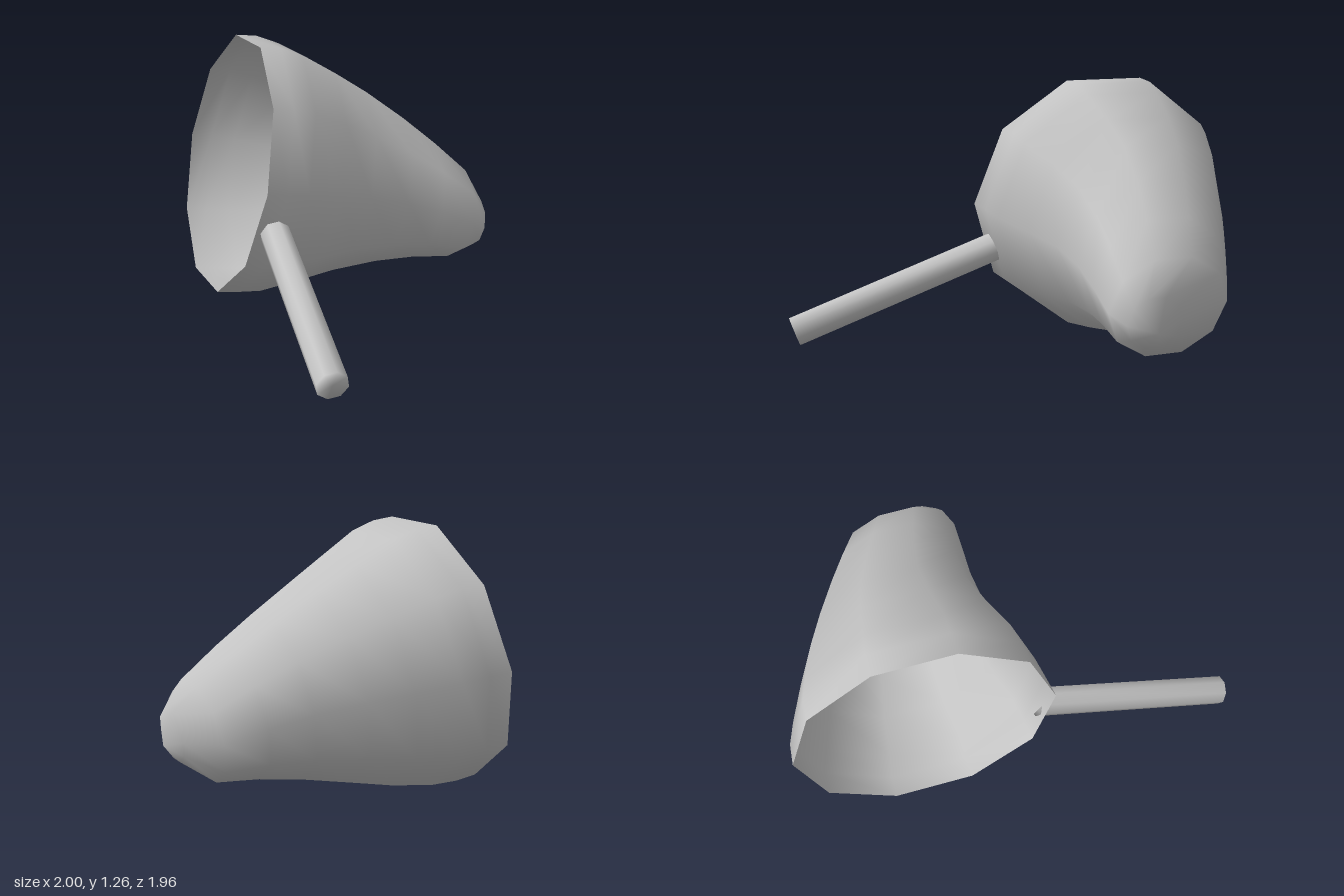
import * as THREE from 'three';
import { mergeVertices } from 'three/addons/utils/BufferGeometryUtils.js';

const SIDES = 10;

// Local frame of the shell: u across the mouth, v up the mouth, n towards the closed end
const origin = new THREE.Vector3(-0.42, 0.645, 0.115);
const u = new THREE.Vector3(0.872, 0, 0.49);
const v = new THREE.Vector3(0.093, 0.982, -0.165);
const n = new THREE.Vector3(0.48, -0.19, -0.855);

// Cross-sections: distance along n, then left, right, top and bottom extents
const rings = [
  [-0.01, -0.66, 0.665, 0.63, -0.625],
  [0.1, -0.65, 0.645, 0.64, -0.62],
  [0.22, -0.61, 0.625, 0.62, -0.605],
  [0.42, -0.53, 0.54, 0.55, -0.545],
  [0.61, -0.435, 0.475, 0.475, -0.475],
  [0.83, -0.325, 0.455, 0.37, -0.4],
  [1.02, -0.23, 0.46, 0.265, -0.35],
  [1.205, -0.135, 0.465, 0.15, -0.32],
  [1.3, 0.14, 0.415, 0.01, -0.23],
];

function place(a, b, t) {
  return origin.clone().addScaledVector(u, a).addScaledVector(v, b).addScaledVector(n, t);
}

// Lofted hollow shell, open at the mouth and closed by a fan at the tip
function shellGeometry() {
  const pos = [], index = [];
  for (const [t, left, right, top, bottom] of rings) {
    const cu = (left + right) / 2, cv = (top + bottom) / 2;
    // Top and bottom are flat sides of the polygon
    const ru = (right - left) / 2, rv = (top - bottom) / 2 / Math.sin(Math.PI * 0.4);
    for (let k = 0; k < SIDES; k++) {
      const a = (k / SIDES) * Math.PI * 2;
      pos.push(...place(cu + ru * Math.cos(a), cv + rv * Math.sin(a), t));
    }
  }
  pos.push(...place(0.28, -0.14, 1.35));
  const tip = rings.length * SIDES;
  for (let r = 0; r < rings.length; r++) {
    for (let k = 0; k < SIDES; k++) {
      const a = r * SIDES + k, b = r * SIDES + (k + 1) % SIDES;
      if (r === rings.length - 1) index.push(a, b, tip);
      else index.push(a, b, a + SIDES, b, b + SIDES, a + SIDES);
    }
  }
  const g = new THREE.BufferGeometry();
  g.setAttribute('position', new THREE.Float32BufferAttribute(pos, 3));
  g.setIndex(index.reverse());
  g.computeVertexNormals();
  return g;
}

// Eight-sided rod whose shading runs smoothly over the ends
function rodGeometry(length) {
  const g = new THREE.CylinderGeometry(0.075, 0.075, length, 8);
  g.deleteAttribute('normal');
  g.deleteAttribute('uv');
  const smooth = mergeVertices(g);
  smooth.computeVertexNormals();
  return smooth;
}

export function createModel() {
  const model = new THREE.Group();
  const grey = new THREE.MeshStandardMaterial({ color: 0xc4c4c4, side: THREE.DoubleSide });
  grey.name = 'light grey';

  const shell = new THREE.Mesh(shellGeometry(), grey);
  shell.name = 'shell';
  model.add(shell);

  // Straight rod running outwards from the rim
  const start = new THREE.Vector3(0.12, 0.432, 0.359);
  const end = new THREE.Vector3(0.954, 0.073, 0.927);
  const axis = end.clone().sub(start);
  const rod = new THREE.Mesh(rodGeometry(axis.length()), grey);
  rod.name = 'handle';
  rod.position.copy(start).add(end).multiplyScalar(0.5);
  rod.quaternion.setFromUnitVectors(new THREE.Vector3(0, 1, 0), axis.normalize());
  model.add(rod);

  return model;
}
